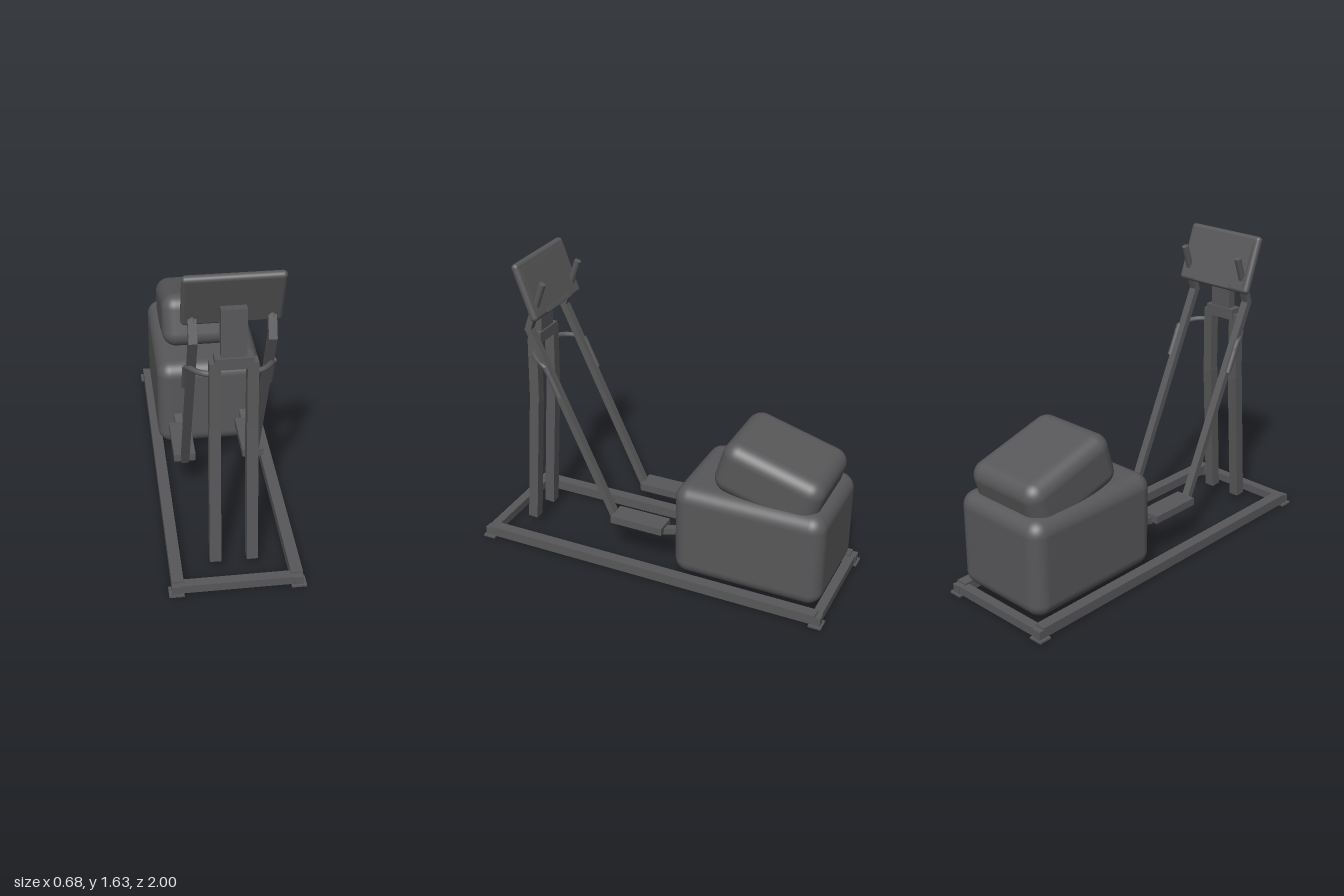
import * as THREE from 'three';
import { RoundedBoxGeometry } from 'three/addons/geometries/RoundedBoxGeometry.js';

export function createModel() {
  const model = new THREE.Group();
  model.name = 'ellipticalTrainer';
  const darkGrey = new THREE.MeshStandardMaterial({ color: 0x58585a });
  darkGrey.name = 'darkGrey';

  const add = (name, geometry, x = 0, y = 0, z = 0, tilt = 0) => {
    const mesh = new THREE.Mesh(geometry, darkGrey);
    mesh.name = name;
    mesh.position.set(x, y, z);
    mesh.rotation.x = tilt;
    model.add(mesh);
    return mesh;
  };
  const box = (name, w, h, d, x, y, z, tilt) =>
    add(name, new THREE.BoxGeometry(w, h, d), x, y, z, tilt);

  // Straight bar between two points, square or round
  const bar = (name, from, to, w, d, round = false) => {
    const a = new THREE.Vector3(...from), b = new THREE.Vector3(...to);
    const length = a.distanceTo(b);
    const geometry = round
      ? new THREE.CylinderGeometry(w / 2, w / 2, length, 16)
      : new THREE.BoxGeometry(w, length, d);
    const mesh = add(name, geometry);
    mesh.position.copy(a).add(b).multiplyScalar(0.5);
    mesh.quaternion.setFromUnitVectors(new THREE.Vector3(0, 1, 0), b.sub(a).normalize());
    return mesh;
  };

  // Floor frame
  for (const s of [-1, 1]) {
    box('sideRail', 0.06, 0.055, 1.92, s * 0.295, 0.0375, 0);
    box('crossRail', 0.58, 0.045, 0.05, 0, 0.0325, s * 0.96);
    for (const e of [-1, 1]) {
      box('cornerFoot', 0.075, 0.01, 0.07, s * 0.3025, 0.005, e * 0.965);
      box('cornerCap', 0.045, 0.045, 0.03, s * 0.3025, 0.0325, e * 0.975);
    }
  }

  // Drive housing and tilted upper housing
  add('driveHousing', new RoundedBoxGeometry(0.58, 0.525, 0.815, 6, 0.08), 0, 0.3275, -0.5525);
  add('upperHousing', new RoundedBoxGeometry(0.48, 0.3, 0.562, 6, 0.08), 0, 0.668, -0.6325, -0.28);

  // Console mast
  box('mastCollar', 0.18, 0.06, 0.07, 0, 1.18, 0.74);
  bar('consoleNeck', [0, 1.17, 0.74], [0, 1.453, 0.73], 0.12, 0.05);

  // Console with raised display and lower ledge
  add('console', new RoundedBoxGeometry(0.47, 0.312, 0.042, 4, 0.02), 0, 1.485, 0.703, 0.35);
  box('display', 0.41, 0.24, 0.006, 0, 1.485 + 0.008, 0.703 - 0.021, 0.35);
  box('consoleLedge', 0.24, 0.02, 0.03, 0, 1.362, 0.645, 0.35);

  for (const s of [-1, 1]) {
    // Bent upright
    bar('uprightLower', [s * 0.092, 0.055, 0.803], [s * 0.089, 0.82, 0.75], 0.056, 0.056);
    bar('uprightUpper', [s * 0.089, 0.8, 0.75], [s * 0.088, 1.18, 0.742], 0.053, 0.056);

    // Swinging arm with grip
    const x = s * 0.183;
    bar('swingArm', [x, 0.245, 0.23], [x, 1.285, 0.712], 0.042, 0.034);
    bar('armElbow', [x, 1.265, 0.714], [x, 1.375, 0.675], 0.04, 0.034);
    bar('grip', [x, 1.36, 0.682], [x, 1.535, 0.618], 0.036, 0.036, true);

    // Pedal and its link into the housing
    box('pedal', 0.115, 0.042, 0.3, x, 0.264, 0.085);
    bar('pedalLink', [x, 0.245, -0.055], [x, 0.29, -0.22], 0.04, 0.034);

    // Fixed handlebar running back and down
    const path = new THREE.CurvePath();
    const points = [
      [0.09, 1.107, 0.74], [0.15, 1.105, 0.71], [0.195, 1.092, 0.645],
      [0.207, 1.07, 0.605], [0.207, 1.0, 0.572],
    ].map(([px, py, pz]) => new THREE.Vector3(s * px, py, pz));
    path.add(new THREE.CatmullRomCurve3(points));
    add('fixedHandlebar', new THREE.TubeGeometry(path, 24, 0.014, 10));
    bar('handleSleeve', [s * 0.207, 1.085, 0.612], [s * 0.207, 0.92, 0.535], 0.032, 0.032, true);
  }

  return model;
}
